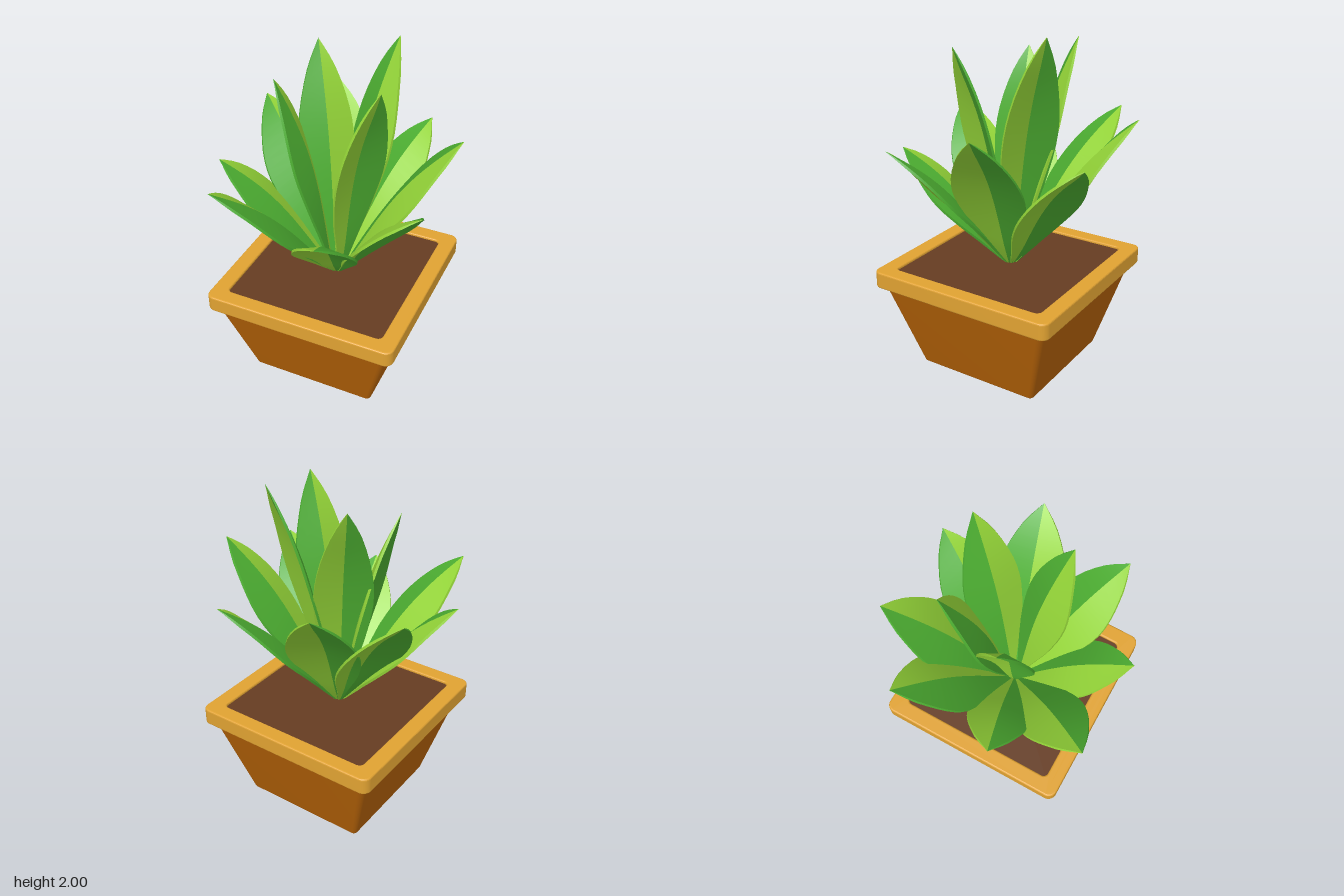
import * as THREE from 'three';
import { toCreasedNormals } from 'three/addons/utils/BufferGeometryUtils.js';

const mat = (name, color) => new THREE.MeshStandardMaterial({ name, color });

// Square outline with rounded corners; works for shapes and holes
function roundedSquare(target, h, r) {
  target.moveTo(h - r, -h);
  target.absarc(h - r, -h + r, r, -Math.PI / 2, 0);
  target.absarc(h - r, h - r, r, 0, Math.PI / 2);
  target.absarc(-h + r, h - r, r, Math.PI / 2, Math.PI);
  target.absarc(-h + r, -h + r, r, Math.PI, Math.PI * 1.5);
  target.closePath();
  return target;
}

// Upright slab standing on y = 0, with softened edges
function slab(shape, height, bevel) {
  const g = new THREE.ExtrudeGeometry(shape, {
    depth: height - 2 * bevel, bevelThickness: bevel, bevelSize: bevel,
    bevelOffset: -bevel, bevelSegments: 3, curveSegments: 8,
  });
  g.translate(0, 0, bevel);
  g.rotateX(-Math.PI / 2);
  return g;
}

// Leaf half-width along its length, as a fraction of the widest point
const outline = new THREE.SplineCurve([
  [0, 0.1], [0.18, 0.43], [0.36, 0.79], [0.55, 1], [0.71, 0.9], [0.88, 0.5], [1, 0],
].map(([t, w]) => new THREE.Vector2(t, w)));

// One half of an arched leaf, folded back from its midrib; side is 1 (right) or -1 (left)
function leafHalf(base, tip, halfWidth, side) {
  const axis = tip.clone().sub(base);
  const right = new THREE.Vector3().crossVectors(axis, new THREE.Vector3(0, 1, 0)).normalize();
  const up = new THREE.Vector3().crossVectors(right, axis).normalize();
  const rows = 18, pos = [], idx = [];
  for (let i = 0; i <= rows; i++) {
    const p = outline.getPoint(i / rows);
    const t = Math.min(p.x, 1), w = Math.max(p.y, 0);
    const thick = 0.014 * Math.min(1, 0.15 + w * 2);
    const arch = 0.064 * Math.sin(Math.PI * Math.pow(t, 1.3));
    const mid = base.clone().addScaledVector(axis, t).addScaledVector(up, arch);
    const edge = mid.clone().addScaledVector(right, side * halfWidth * w).addScaledVector(up, -0.046 * w * w);
    const under = (v) => v.clone().addScaledVector(up, -thick);
    for (const v of [mid, edge, under(edge), under(mid)]) pos.push(v.x, v.y, v.z);
  }
  for (let i = 0; i < rows; i++) {
    for (let j = 0; j < 3; j++) {
      const a = i * 4 + j, b = a + 1, c = a + 4, d = a + 5;
      if (side > 0) idx.push(a, b, c, b, d, c);
      else idx.push(a, c, b, b, c, d);
    }
  }
  const g = new THREE.BufferGeometry();
  g.setAttribute('position', new THREE.Float32BufferAttribute(pos, 3));
  g.setIndex(idx);
  return toCreasedNormals(g, 0.7);
}

export function createModel() {
  const model = new THREE.Group();
  model.name = 'pottedPlant';
  const clay = mat('clay', 0xb86407);
  const rimClay = mat('rimClay', 0xe0a232);
  const earth = mat('earth', 0x653c22);
  const lime = mat('limeLeaf', 0x94d538);
  const green = mat('greenLeaf', 0x4cad31);

  const add = (parent, name, geometry, material) => {
    const m = new THREE.Mesh(geometry, material);
    m.name = name;
    parent.add(m);
    return m;
  };

  const pot = new THREE.Group();
  pot.name = 'potAndSoil';
  pot.position.set(-0.007, 0, -0.003);
  model.add(pot);

  // Pot body: a rounded square slab widening towards the top
  const body = slab(roundedSquare(new THREE.Shape(), 0.378, 0.025), 0.54, 0.01);
  const p = body.attributes.position;
  for (let i = 0; i < p.count; i++) {
    const k = 1 + 0.41 * p.getY(i) / 0.54;
    p.setX(i, p.getX(i) * k);
    p.setZ(i, p.getZ(i) * k);
  }
  add(pot, 'potBody', toCreasedNormals(body, 0.15), clay);

  // Rim: square ring
  const ring = roundedSquare(new THREE.Shape(), 0.573, 0.05);
  ring.holes.push(roundedSquare(new THREE.Path(), 0.478, 0.03));
  const rim = add(pot, 'potRim', toCreasedNormals(slab(ring, 0.1, 0.01), 0.15), rimClay);
  rim.position.y = 0.53;

  // Soil, almost level with the rim
  const soil = add(pot, 'soil', new THREE.BoxGeometry(0.965, 0.07, 0.965), earth);
  soil.position.y = 0.58;

  // Leaves: tip x, y, z and half-width; eight spreading, four upright
  const leaves = [
    [-0.285, 1.51, -0.645, 0.197], [0.315, 1.39, -0.635, 0.184],
    [0.642, 1.55, -0.18, 0.195], [0.62, 1.4, 0.37, 0.184],
    [0.16, 1.25, 0.643, 0.176], [-0.44, 1.41, 0.628, 0.187],
    [-0.645, 1.32, 0.195, 0.18], [-0.642, 1.47, -0.37, 0.19],
    [-0.25, 1.93, -0.28, 0.16], [0.2, 2, -0.343, 0.163],
    [0.3, 1.915, 0.16, 0.16], [-0.335, 1.83, 0.085, 0.158],
  ];
  leaves.forEach(([x, y, z, w], i) => {
    const leaf = new THREE.Group();
    leaf.name = i < 8 ? 'outerLeaf' : 'innerLeaf';
    const r = 0.025 / Math.hypot(x, z);
    const base = new THREE.Vector3(x * r - 0.007, 0.61, z * r);
    const tip = new THREE.Vector3(x, y, z);
    add(leaf, 'leafRightHalf', leafHalf(base, tip, w, 1), lime);
    add(leaf, 'leafLeftHalf', leafHalf(base, tip, w, -1), green);
    model.add(leaf);
  });

  return model;
}
